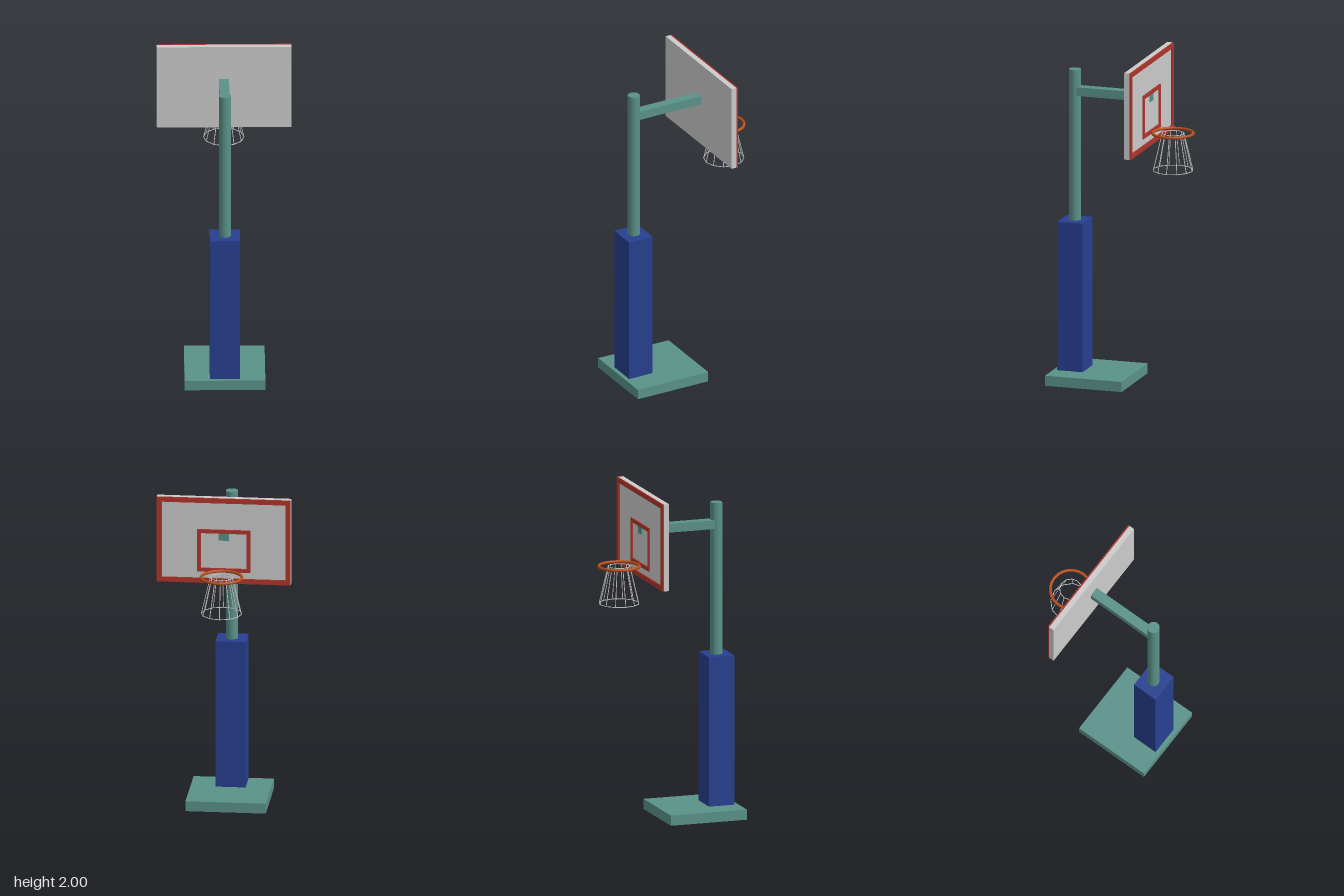
import * as THREE from 'three';

const mat = (color) => new THREE.MeshStandardMaterial({ color });
const green = mat(0x5a9289), blue = mat(0x273f90), red = mat(0xb0352c);
const orange = mat(0xb84e1c), grey = mat(0xcccccc);

export function createModel() {
  const model = new THREE.Group();

  const add = (name, geometry, material, x = 0, y = 0, z = 0, parent = model) => {
    const mesh = new THREE.Mesh(geometry, material);
    mesh.name = name;
    mesh.position.set(x, y, z);
    parent.add(mesh);
    return mesh;
  };

  // Box given by its lower and upper limits
  const box = (name, material, [x0, x1], [y0, y1], [z0, z1]) =>
    add(name, new THREE.BoxGeometry(x1 - x0, y1 - y0, z1 - z0), material,
      (x0 + x1) / 2, (y0 + y1) / 2, (z0 + z1) / 2);

  // Rectangular border with an open middle
  const border = (name, w, h, line, depth, y, z) => {
    const rect = (Type, a, b) => new Type([
      new THREE.Vector2(-a, -b), new THREE.Vector2(a, -b),
      new THREE.Vector2(a, b), new THREE.Vector2(-a, b),
    ]);
    const shape = rect(THREE.Shape, w / 2, h / 2);
    shape.holes.push(rect(THREE.Path, w / 2 - line, h / 2 - line));
    add(name, new THREE.ExtrudeGeometry(shape, { depth, bevelEnabled: false }), red, 0, y, z);
  };

  // Base, padding, pole and arm
  box('base', green, [-0.24, 0.24], [0, 0.062], [-0.055, 0.425]);
  box('polePadding', blue, [-0.09, 0.09], [0.062, 0.972], [0.24, 0.4]);
  add('pole', new THREE.CylinderGeometry(0.036, 0.036, 1.835, 32), green, 0, 0.9775, 0.318);
  box('arm', green, [-0.03, 0.03], [1.737, 1.79], [-0.165, 0.31]);

  // Backboard with its painted borders
  box('backboard', grey, [-0.4, 0.4], [1.47, 2], [-0.158, -0.125]);
  border('boardBorder', 0.8, 0.53, 0.03, 0.009, 1.735, -0.167);
  border('targetBorder', 0.32, 0.264, 0.023, 0.009, 1.672, -0.167);

  // Hoop
  const hoop = new THREE.Group();
  hoop.name = 'hoop';
  hoop.position.set(0, 1.55, -0.296);
  model.add(hoop);
  const rim = add('rim', new THREE.TorusGeometry(0.122, 0.009, 8, 24), orange, 0, 0, 0, hoop);
  rim.rotation.x = Math.PI / 2;

  // Net: two loops joined by slanted strands
  const topR = 0.066, bottomR = 0.12, drop = 0.226, strands = 12, thick = 0.0025;
  for (const [name, r, y] of [['netTopLoop', topR, 0], ['netBottomLoop', bottomR, -drop]]) {
    const loop = add(name, new THREE.TorusGeometry(r, thick, 6, strands), grey, 0, y, 0, hoop);
    loop.rotation.x = Math.PI / 2;
  }
  for (let i = 0; i < strands; i++) {
    const a = (i / strands) * Math.PI * 2;
    const at = (r, y) => new THREE.Vector3(r * Math.cos(a), y, r * Math.sin(a));
    const path = new THREE.LineCurve3(at(topR, 0), at(bottomR, -drop));
    add('netStrand', new THREE.TubeGeometry(path, 1, thick, 6), grey, 0, 0, 0, hoop);
  }

  return model;
}
